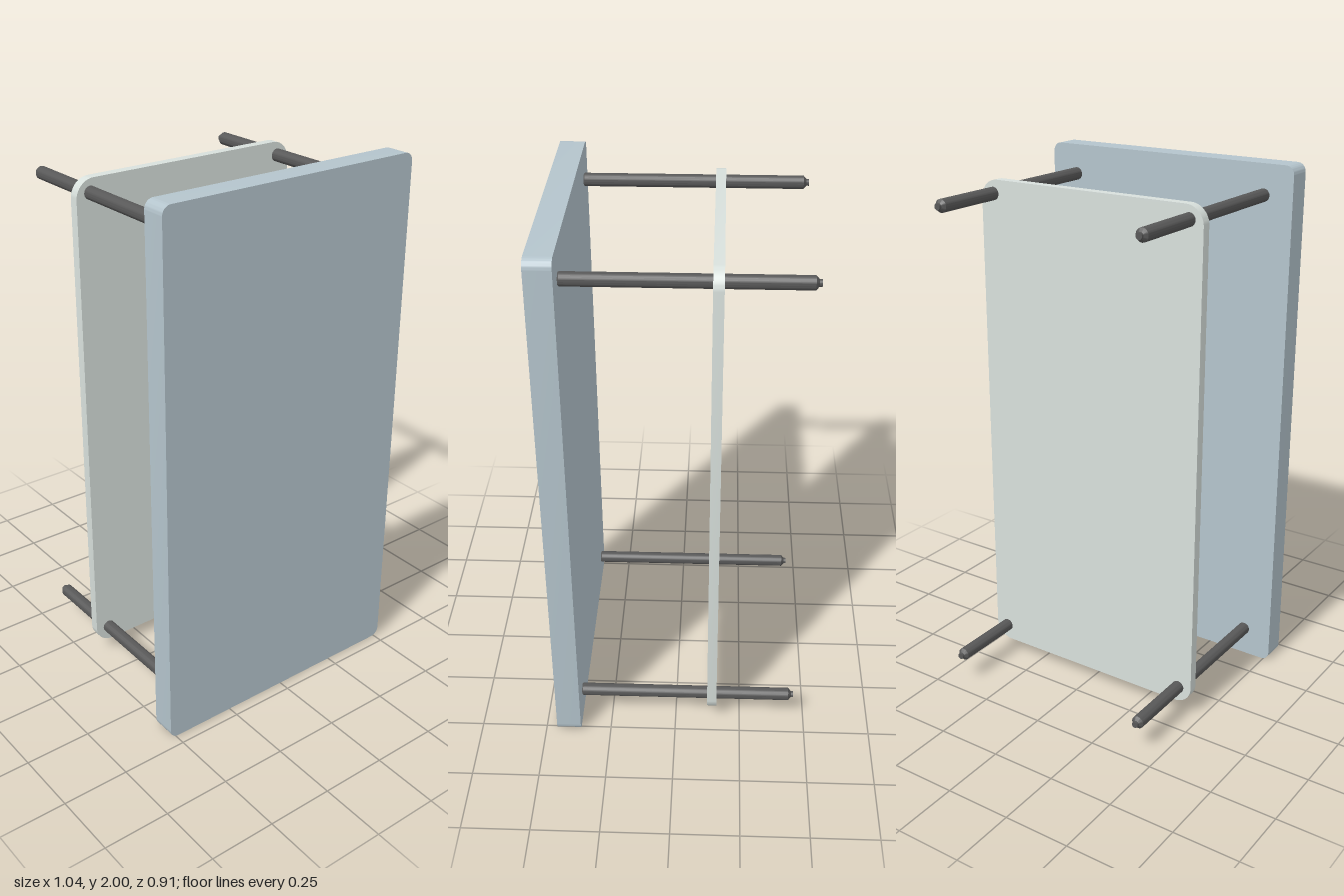
import * as THREE from 'three';
import { toCreasedNormals } from 'three/addons/utils/BufferGeometryUtils.js';

const material = (color) => new THREE.MeshStandardMaterial({ color });

// Upright rounded rectangle, centred on its own middle
function plate(name, width, height, depth, radius, color) {
  const w = width / 2, h = height / 2, r = radius;
  const shape = new THREE.Shape();
  shape.absarc(w - r, h - r, r, 0, Math.PI / 2);
  shape.absarc(-w + r, h - r, r, Math.PI / 2, Math.PI);
  shape.absarc(-w + r, -h + r, r, Math.PI, Math.PI * 1.5);
  shape.absarc(w - r, -h + r, r, Math.PI * 1.5, Math.PI * 2);
  shape.closePath();
  const geometry = new THREE.ExtrudeGeometry(shape, { depth, bevelEnabled: false, curveSegments: 8 });
  geometry.translate(0, 0, -depth / 2);
  const mesh = new THREE.Mesh(toCreasedNormals(geometry, 0.6), material(color));
  mesh.name = name;
  return mesh;
}

export function createModel() {
  const group = new THREE.Group();
  group.name = 'standoffPanel';

  // Thick front panel
  const front = plate('frontPanel', 1.045, 2, 0.092, 0.033, 0xb4c4cc);
  front.position.set(0, 1, 0.411);
  group.add(front);

  // Thin back panel, leaning very slightly
  const back = plate('backPanel', 0.926, 1.885, 0.036, 0.07, 0xd8e0dc);
  back.position.set(0, 0.996, -0.139);
  back.rotation.x = 0.002;
  group.add(back);

  // Four threaded-style rods with chamfered ends and a small tip
  const profile = [
    [0, 0], [0.021, 0], [0.024, 0.004], [0.024, 0.802],
    [0.012, 0.813], [0.012, 0.822], [0, 0.822],
  ].map(([r, y]) => new THREE.Vector2(r, y));
  const rodGeometry = toCreasedNormals(new THREE.LatheGeometry(profile, 20).rotateX(-Math.PI / 2), 0.5);
  const rodMaterial = material(0x585858);
  for (const [x, side] of [[0.411, 'Left'], [-0.408, 'Right']]) {
    for (const [y, level] of [[0.115, 'lower'], [1.888, 'upper']]) {
      const rod = new THREE.Mesh(rodGeometry, rodMaterial);
      rod.name = `${level}${side}Rod`;
      rod.position.set(x, y, 0.365);
      group.add(rod);
    }
  }
  return group;
}
